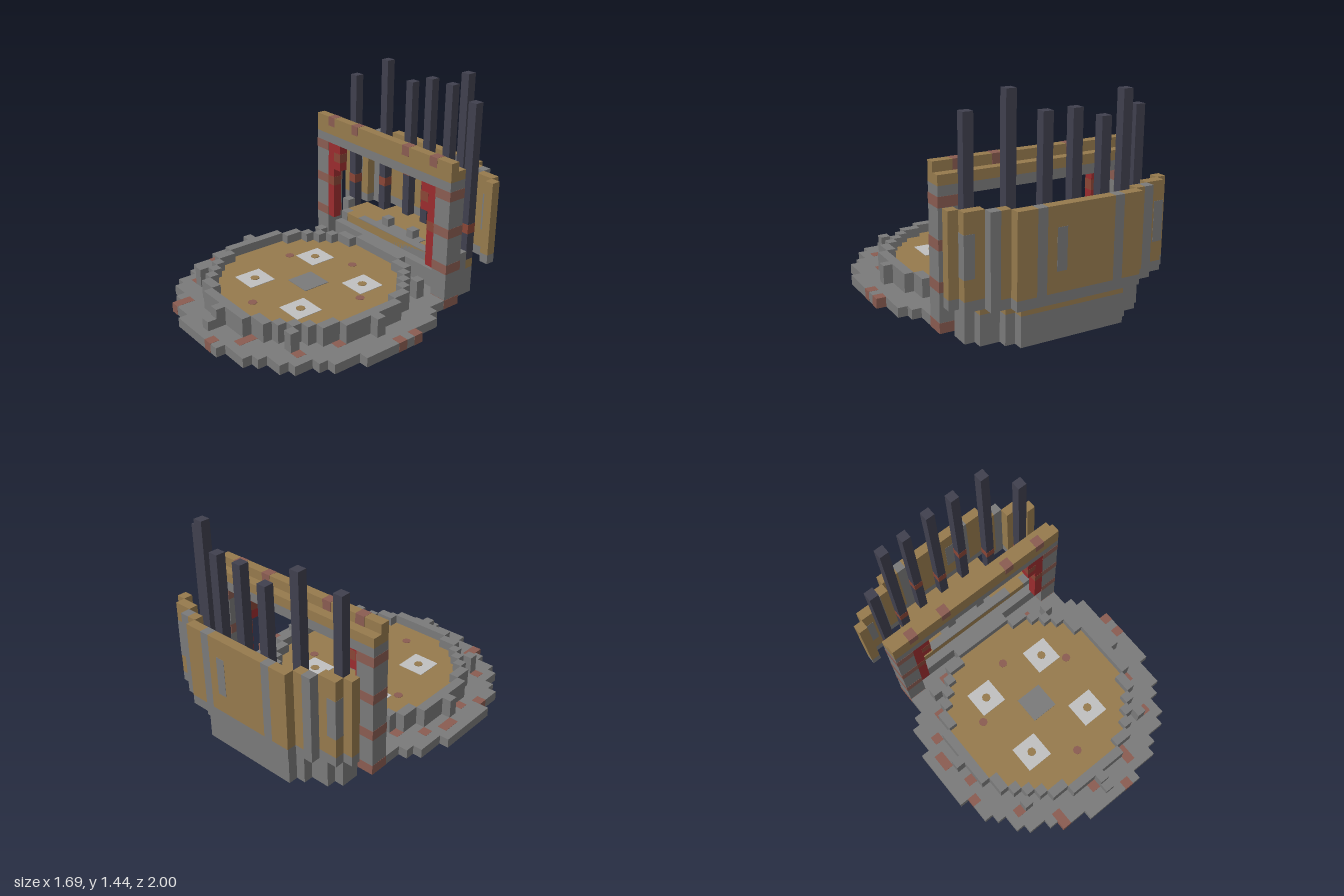
import * as THREE from 'three';
import { mergeGeometries } from 'three/addons/utils/BufferGeometryUtils.js';

const U = 0.0625; // one block

const material = (name, color) => {
  const m = new THREE.MeshStandardMaterial({ color });
  m.name = name;
  return m;
};

// box from its limits, counted in blocks
function block(x0, x1, y0, y1, z0, z1, grow = 0) {
  const g = new THREE.BoxGeometry(x1 - x0 + grow, y1 - y0 + grow, z1 - z0 + grow);
  g.translate((x0 + x1) / 2, (y0 + y1) / 2, (z0 + z1) / 2);
  return g.scale(U, U, U);
}

// single column of blocks at column i, row z
const cell = (i, y0, y1, z, grow) => block(i - 0.5, i + 0.5, y0, y1, z, z + 1, grow);

// half width of a stepped disc at row k
const reach = (r, k) => Math.floor(Math.sqrt(r * r - k * k));

// stepped disc made of rows, centred on z = 2.5 blocks; an inner radius leaves a ring
function disc(r, y0, y1, inner = 0) {
  const rows = [];
  const n = Math.floor(r);
  for (let k = -n; k <= n; k++) {
    const w = reach(r, k) + 0.5;
    if (Math.abs(k) < inner) {
      const h = reach(inner, k) + 0.5;
      if (h < w) rows.push(block(-w, -h, y0, y1, k + 2, k + 3), block(h, w, y0, y1, k + 2, k + 3));
    } else rows.push(block(-w, w, y0, y1, k + 2, k + 3));
  }
  return rows;
}

export function createModel() {
  const stone = material('stone', 0x7a7a7a);
  const wood = material('wood', 0x967a4d);
  const iron = material('iron', 0x40404e);
  const cloth = material('red cloth', 0x9a2c2e);
  const stain = material('faded red', 0x8a5c51);
  const rust = material('rust', 0x8a4636);
  const pale = material('pale tile', 0xc0c0c0);
  const model = new THREE.Group();
  const add = (name, mat, parts) => {
    const mesh = new THREE.Mesh(mergeGeometries(parts), mat);
    mesh.name = name;
    model.add(mesh);
  };

  // round arena
  add('arenaBase', stone, disc(13.5, 0, 1));
  add('arenaFloor', wood, disc(9.5, 1, 2));
  const rim = disc(10.5, 1, 3, 9.5);
  for (const s of [-1, 1]) {
    rim.push(cell(s * 11, 1, 3, 2), cell(s * 8, 1, 3, 10), cell(s * 8, 1, 3, -6));
  }
  rim.push(cell(0, 1, 3, 13), cell(0, 1, 2, 14));
  add('arenaRim', stone, rim);

  // stained blocks in the base: column, row
  const stains = [[-12, 0], [-12, 1], [-11, -2], [-11, 4], [-12, 6], [-9, 10], [9, 10], [10, 6],
    [13, -1], [13, 1], [-6, 13], [-6, 14], [-1, 13], [4, 12], [4, 13], [2, 15], [-6, -7], [6, -7], [-9, -4]];
  add('baseStains', stain, stains.map(([i, z]) => cell(i, 0, 1, z, 0.03)));

  // floor markings
  const tiles = [], studs = [], dots = [];
  const spot = (x, z, y) => new THREE.CylinderGeometry(0.03, 0.03, 0.004, 8).translate(x, y, z);
  for (const x of [-4, 4]) {
    for (const z of [-1.5, 6.5]) {
      tiles.push(block(x - 1.5, x + 1.5, 2, 2.05, z - 1.5, z + 1.5));
      studs.push(spot(x * U, z * U, 0.13));
    }
  }
  for (const [x, z] of [[0, -3.5], [-6, 0.5], [6, 0.5], [0, 9.5]]) dots.push(spot(x * U, z * U, 0.126));
  add('floorTiles', pale, tiles);
  add('tileStuds', wood, studs);
  add('floorDots', stain, dots);
  add('centreTile', stone, [block(-1.5, 1.5, 2, 2.05, 1, 4)]);

  // raised stage behind the gate: half widths of rows going back
  const body = [], deck = [];
  [8.5, 9.5, 9.5, 8.5, 6.5, 5.5].forEach((w, n) => {
    const z = -10 - n;
    body.push(block(-w, w, 0, 3, z, z + 1));
    deck.push(block(-w, w, 3, 4, z, z + 1));
  });
  body.push(block(-8.5, 8.5, 0, 3, -9, -8));
  add('stageBody', stone, body);
  add('stageDeck', wood, deck);
  const edge = [block(-5.5, 5.5, 3, 4.08, -10, -9), block(-3.5, 3.5, 3, 4.08, -11, -10)];
  for (const s of [-1, 1]) {
    edge.push(cell(s * 2, 4, 5, -11), cell(s * 9, 3, 5, -11, 0.02), cell(s * 8, 3, 4, -10, 0.02));
  }
  add('stageEdge', stone, edge);

  // gate
  const pillars = [], bands = [], curtains = [], ties = [], marks = [];
  for (const s of [-1, 1]) {
    const side = (a, b, ...rest) => block(Math.min(s * a, s * b), Math.max(s * a, s * b), ...rest);
    pillars.push(side(8.5, 10.5, 0, 13, -9, -7));
    for (const y of [0, 4, 8, 12]) bands.push(side(8.5, 10.5, y, y + 1, -9, -7, 0.04));
    curtains.push(side(7.5, 8.5, 4, 13, -8, -7), side(6.5, 7.5, 10, 13, -8, -7));
    ties.push(cell(s * 7, 11, 12, -8, 0.04), cell(s * 8, 8, 9, -8, 0.04));
    for (const i of [4, 8]) marks.push(cell(s * i, 15, 16, -8, 0.04));
  }
  add('gatePillars', stone, pillars);
  add('pillarBands', stain, bands);
  add('gateCurtains', cloth, curtains);
  add('curtainTies', rust, ties);
  add('gateLintel', stone, [block(-10.5, 10.5, 13, 14, -9, -7)]);
  add('gateBeam', wood, [block(-10.5, 10.5, 14, 16, -8, -7), block(-10.5, 10.5, 14, 15, -9, -8)]);
  add('beamMarks', stain, marks);

  // curved back wall, standing out past the stage
  const planks = [], footing = [], strips = [];
  for (let i = -11; i <= 11; i++) {
    const a = Math.abs(i);
    const z = a <= 6 ? -16 : a <= 8 ? -15 : a <= 10 ? -14 : -13;
    footing.push(cell(i, 4, 5, z));
    if (a === 4 || a === 8) strips.push(cell(i, 5, 13, z));
    else planks.push(cell(i, 5, 13, z));
    if (i === 2 || a === 10) strips.push(cell(i, 7, 11, z, 0.04));
  }
  add('wallPlanks', wood, planks);
  add('wallFooting', stone, footing);
  add('wallStrips', stone, strips);

  // iron bars, from -x to +x: top height and row
  const bars = [], collars = [];
  [[20, -12], [22, -14], [20, -15], [21, -15], [21, -15], [23, -14], [21, -12]].forEach(([top, z], n) => {
    const i = (n - 3) * 3;
    const y = Math.abs(i) === 3 ? 9 : 7;
    bars.push(cell(i, 4, top, z));
    collars.push(cell(i, y, y + 1, z, 0.04));
  });
  add('ironBars', iron, bars);
  add('barRust', rust, collars);

  return model;
}
